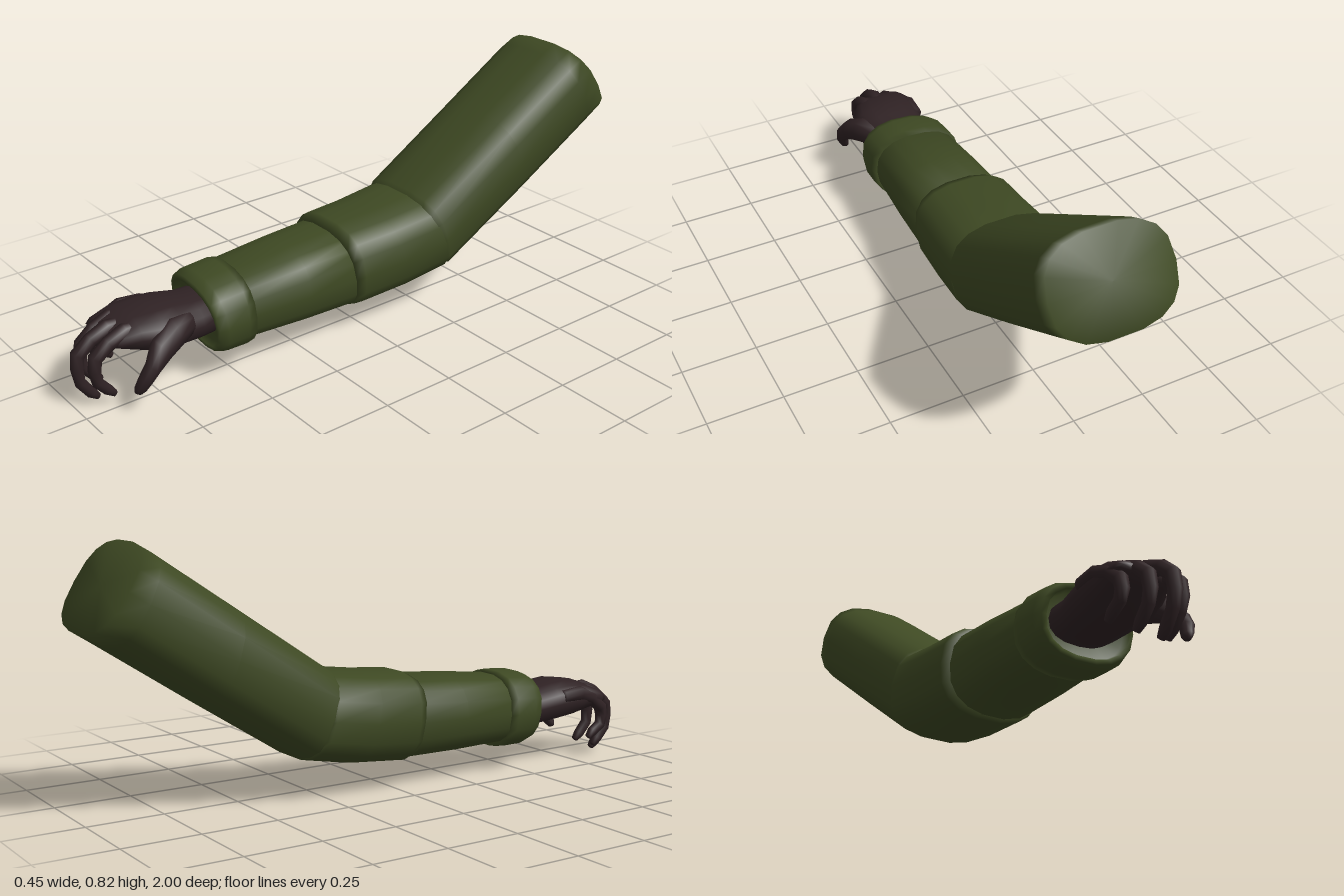
import * as THREE from 'three';

const sleeveGreen = new THREE.MeshStandardMaterial({ name: 'sleeveGreen', color: 0x3e4923 });
const gloveBrown = new THREE.MeshStandardMaterial({ name: 'gloveBrown', color: 0x2f2224 });

// Closed skin over rings [topZ, topY, bottomZ, bottomY, minX, maxX], listed from back to front.
function loft(name, material, rings, { sides = 18, power = 2.4, skew = 0 } = {}) {
  const pos = [], index = [];
  const bend = (v) => Math.sign(v) * Math.pow(Math.abs(v), 2 / power);
  for (const [tz, ty, bz, by, x0, x1] of rings) {
    for (let j = 0; j < sides; j++) {
      const a = (j / sides) * Math.PI * 2;
      const dx = bend(Math.cos(a)) * (x1 - x0) / 2, s = bend(Math.sin(a));
      pos.push((x0 + x1) / 2 + dx,
        (ty + by) / 2 + s * (ty - by) / 2,
        (tz + bz) / 2 + s * (tz - bz) / 2 + skew * dx);
    }
  }
  for (let i = 0; i < rings.length - 1; i++) {
    for (let j = 0; j < sides; j++) {
      const k = (j + 1) % sides, a = i * sides, b = a + sides;
      index.push(a + j, a + k, b + j, a + k, b + k, b + j);
    }
  }
  // end caps
  [0, rings.length - 1].forEach((i, end) => {
    const [tz, ty, bz, by, x0, x1] = rings[i];
    const c = pos.length / 3, a = i * sides;
    pos.push((x0 + x1) / 2, (ty + by) / 2, (tz + bz) / 2);
    for (let j = 0; j < sides; j++) {
      const k = (j + 1) % sides;
      if (end) index.push(c, a + j, a + k);
      else index.push(c, a + k, a + j);
    }
  });
  const geo = new THREE.BufferGeometry();
  geo.setAttribute('position', new THREE.Float32BufferAttribute(pos, 3));
  geo.setIndex(index);
  geo.computeVertexNormals();
  const mesh = new THREE.Mesh(geo, material);
  mesh.name = name;
  return mesh;
}

// Tapered digit along points [x, y, z, radius].
function digit(name, pts) {
  const rings = pts.map(([x, y, z, r], i) => {
    const p = pts[Math.max(i - 1, 0)], n = pts[Math.min(i + 1, pts.length - 1)];
    const dy = n[1] - p[1], dz = n[2] - p[2], l = Math.hypot(dy, dz);
    const uy = dz / l * r, uz = -dy / l * r;
    return [z + uz, y + uy, z - uz, y - uy, x - r, x + r];
  });
  return loft(name, gloveBrown, rings, { sides: 8, power: 2.3 });
}

export function createModel() {
  const model = new THREE.Group();
  model.name = 'arm';

  // Sleeve: upper arm, elbow section, forearm
  const sleeve = new THREE.Group();
  sleeve.name = 'sleeve';
  sleeve.add(
    loft('upperSleeve', sleeveGreen, [
      [-0.84, 0.83, -1.0, 0.57, -0.178, 0.224],
      [-0.79, 0.8, -0.93, 0.525, -0.186, 0.223],
      [-0.54, 0.63, -0.64, 0.333, -0.2, 0.203],
      [-0.232, 0.42, -0.33, 0.132, -0.218, 0.178],
      [-0.2, 0.37, -0.26, 0.14, -0.2, 0.155],
    ], { power: 2.7 }),
    loft('elbowSleeve', sleeveGreen, [
      [-0.25, 0.39, -0.325, 0.135, -0.21, 0.17],
      [-0.232, 0.407, -0.315, 0.125, -0.222, 0.176],
      [-0.08, 0.388, -0.15, 0.095, -0.224, 0.16],
      [0.06, 0.377, 0.03, 0.08, -0.224, 0.144],
      [0.095, 0.362, 0.06, 0.086, -0.205, 0.134],
    ], { power: 2.6 }),
    loft('forearmSleeve', sleeveGreen, [
      [0.02, 0.363, 0.0, 0.085, -0.207, 0.137],
      [0.25, 0.347, 0.25, 0.085, -0.207, 0.122],
      [0.5, 0.322, 0.5, 0.092, -0.2, 0.1],
    ], { power: 2.5 }));

  // Turned-back cuff with a recessed mouth
  sleeve.add(loft('cuff', sleeveGreen, [
    [0.47, 0.31, 0.46, 0.1, -0.19, 0.09],
    [0.448, 0.33, 0.435, 0.078, -0.21, 0.112],
    [0.475, 0.336, 0.465, 0.072, -0.216, 0.117],
    [0.56, 0.329, 0.53, 0.073, -0.215, 0.115],
    [0.592, 0.315, 0.56, 0.083, -0.206, 0.105],
    [0.594, 0.298, 0.563, 0.098, -0.19, 0.09],
    [0.565, 0.292, 0.54, 0.104, -0.185, 0.085],
  ], { skew: 0.07, power: 2.4 }));
  model.add(sleeve);

  // Glove palm
  const hand = new THREE.Group();
  hand.name = 'hand';
  hand.add(loft('palm', gloveBrown, [
    [0.5, 0.262, 0.5, 0.14, -0.165, 0.04],
    [0.6, 0.264, 0.6, 0.132, -0.168, 0.044],
    [0.68, 0.28, 0.69, 0.14, -0.18, 0.06],
    [0.74, 0.284, 0.76, 0.15, -0.186, 0.066],
    [0.81, 0.276, 0.82, 0.168, -0.188, 0.04],
    [0.88, 0.245, 0.86, 0.18, -0.186, 0.008],
    [0.9, 0.225, 0.875, 0.19, -0.178, -0.005],
  ], { sides: 16 }));

  // Four curled fingers: [name, knuckle x, tip x, forward reach, tip height]
  [
    ['littleFinger', -0.166, -0.172, 0.9, 0.068],
    ['ringFinger', -0.122, -0.129, 0.962, 0.027],
    ['middleFinger', -0.07, -0.08, 1.0, 0.003],
    ['indexFinger', -0.018, -0.03, 0.968, 0.026],
  ].forEach(([name, x, tx, reach, tip]) => {
    const mx = (x + tx) / 2, drop = 0.185 - tip;
    hand.add(digit(name, [
      [x, 0.235, reach - 0.2, 0.022],
      [x, 0.238, reach - 0.125, 0.027],
      [x, 0.218, reach - 0.07, 0.023],
      [mx, 0.18, reach - 0.025, 0.022],
      [mx, 0.185 - drop * 0.3, reach - 0.019, 0.02],
      [tx, 0.185 - drop * 0.58, reach - 0.028, 0.018],
      [tx, tip + 0.028, reach - 0.062, 0.017],
      [tx, tip + 0.009, reach - 0.082, 0.011],
    ]));
  });

  // Thumb
  hand.add(digit('thumb', [
    [0.02, 0.22, 0.64, 0.035],
    [0.045, 0.22, 0.71, 0.047],
    [0.068, 0.195, 0.77, 0.04],
    [0.09, 0.155, 0.815, 0.025],
    [0.085, 0.118, 0.84, 0.022],
    [0.073, 0.086, 0.853, 0.018],
    [0.068, 0.072, 0.858, 0.011],
  ]));
  model.add(hand);
  return model;
}
